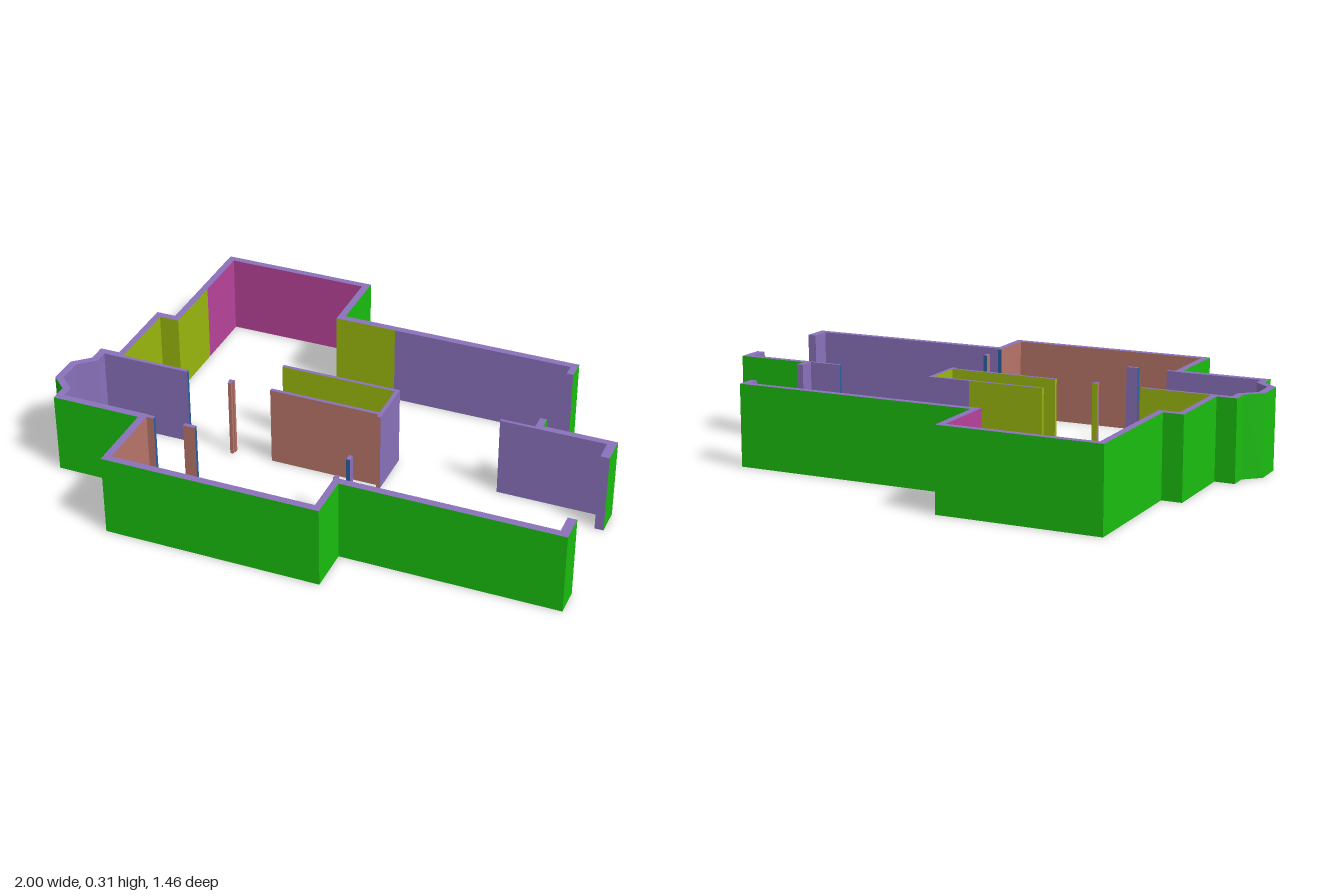
import * as THREE from 'three';

const H = 0.305;
const paint = (color) => new THREE.MeshStandardMaterial({ color, flatShading: true });
const MATERIALS = {
  g: paint(0x1abe0f), // outside green
  p: paint(0x8a72bb), // purple
  o: paint(0x9ab80f), // olive
  s: paint(0xb8756a), // salmon
  m: paint(0xb8439a), // magenta
  b: paint(0x2a60a0), // blue door jambs
};
const FINISH = { g: 'OutsideFace', p: 'PurpleFace', o: 'OliveFace', s: 'SalmonFace', m: 'MagentaFace', b: 'Jamb' };

// Upright wall over a floor outline of [x, z]; finishes[i] paints the face from corner i to i + 1.
function wall(name, outline, finishes) {
  const group = new THREE.Group();
  group.name = name;
  const ring = outline.map(([x, z]) => new THREE.Vector2(x, z));
  const forward = THREE.ShapeUtils.area(ring) > 0;
  const faces = {};
  ring.forEach((a, i) => {
    const b = ring[(i + 1) % ring.length];
    const [p, q] = forward ? [a, b] : [b, a];
    (faces[finishes[i]] ??= []).push(
      p.x, 0, p.y, p.x, H, p.y, q.x, H, q.y,
      p.x, 0, p.y, q.x, H, q.y, q.x, 0, q.y);
  });
  for (const [key, corners] of Object.entries(faces)) {
    const geometry = new THREE.BufferGeometry();
    geometry.setAttribute('position', new THREE.Float32BufferAttribute(corners, 3));
    geometry.computeVertexNormals();
    const mesh = new THREE.Mesh(geometry, MATERIALS[key]);
    mesh.name = name + FINISH[key];
    group.add(mesh);
  }
  // Top and bottom edges
  for (const side of [1, -1]) {
    const shape = new THREE.Shape(ring.map((v) => new THREE.Vector2(v.x, -side * v.y)));
    const cap = new THREE.ShapeGeometry(shape).rotateX(-side * Math.PI / 2);
    if (side > 0) cap.translate(0, H, 0);
    const mesh = new THREE.Mesh(cap, MATERIALS.p);
    mesh.name = name + (side > 0 ? 'Top' : 'Bottom');
    group.add(mesh);
  }
  return group;
}

// Straight partition; finishes run back, left (+x), front, right (-x).
const partition = (name, x0, x1, z0, z1, finishes) =>
  wall(name, [[x0, z0], [x1, z0], [x1, z1], [x0, z1]], finishes);

export function createModel() {
  const model = new THREE.Group();
  model.name = 'floorPlanWalls';

  // Long outer wall: outside line, then back along the inside line
  const outside = [
    [0.73, -0.395], [0.73, -0.47], [-0.19, -0.47], [-0.19, -0.73], [-0.79, -0.73],
    [-0.79, -0.23], [-0.865, -0.23], [-0.865, 0.085], [-0.94, 0.085],
    [-0.94, 0.155], [-1, 0.21], [-1, 0.325], [-0.94, 0.38], [-0.94, 0.445],
    [-0.605, 0.445], [-0.605, 0.725], [0.2, 0.725], [0.2, 0.555], [1, 0.555], [1, 0.45],
  ];
  const inside = [
    [0.967, 0.45, 'p'], [0.967, 0.527, 'p'], [0.175, 0.527, 's'], [0.175, 0.697, 's'],
    [-0.577, 0.697, 's'], [-0.577, 0.417, 'p'], [-0.912, 0.417, 'p'], [-0.912, 0.37, 'p'],
    [-0.972, 0.315, 'p'], [-0.972, 0.22, 'p'], [-0.912, 0.165, 'p'], [-0.912, 0.113, 'p'],
    [-0.84, 0.113, 'o'], [-0.84, -0.202, 'o'], [-0.764, -0.202, 'o'], [-0.764, -0.46, 'm'],
    [-0.764, -0.704, 'm'], [-0.217, -0.704, 'm'], [-0.217, -0.443, 'o'], [0.02, -0.443, 'p'],
    [0.705, -0.443, 'p'], [0.705, -0.395, 'p'],
  ];
  model.add(wall('outerWall', [...outside, ...inside],
    'g'.repeat(outside.length - 1) + 'p' + inside.map((c) => c[2]).join('')));

  // Short outer wall between the two openings on the left side
  model.add(wall('entranceWall', [
    [0.705, -0.08], [0.73, -0.08], [0.73, -0.035], [1, -0.035],
    [1, 0.07], [0.967, 0.07], [0.967, -0.01], [0.705, -0.01],
  ], 'pgggpppp'));
  model.add(partition('entrancePartition', 0.58, 0.705, -0.022, -0.01, 'pppb'));

  // U-shaped room divider in the middle
  model.add(wall('roomDivider', [
    [-0.268, -0.063], [0.02, -0.063], [0.185, -0.063], [0.185, 0.128], [0.17, 0.128],
    [0.17, 0.113], [-0.245, 0.113], [-0.245, 0.099], [0.17, 0.099], [0.17, -0.049], [-0.268, -0.049],
  ], 'oppsssooooo'));

  // Partitions beside the bay room and the front room
  model.add(
    partition('bayPartition', -0.84, -0.575, 0.099, 0.113, 'obpo'),
    partition('frontRoomStub', -0.577, -0.55, 0.419, 0.434, 'pbsp'),
    partition('frontRoomJamb', 0.17, 0.185, 0.512, 0.53, 'bpps'),
  );

  // Free-standing posts
  model.add(
    wall('bayPost', [
      [-0.41, 0.099], [-0.39, 0.099], [-0.39, 0.113], [-0.394, 0.113],
      [-0.394, 0.126], [-0.406, 0.126], [-0.406, 0.113], [-0.41, 0.113],
    ], 'osssspps'),
    partition('frontRoomPost', -0.435, -0.39, 0.419, 0.434, 'pbsb'),
    partition('hallPost', 0.17, 0.185, 0.385, 0.412, 'bpbs'),
  );
  return model;
}
